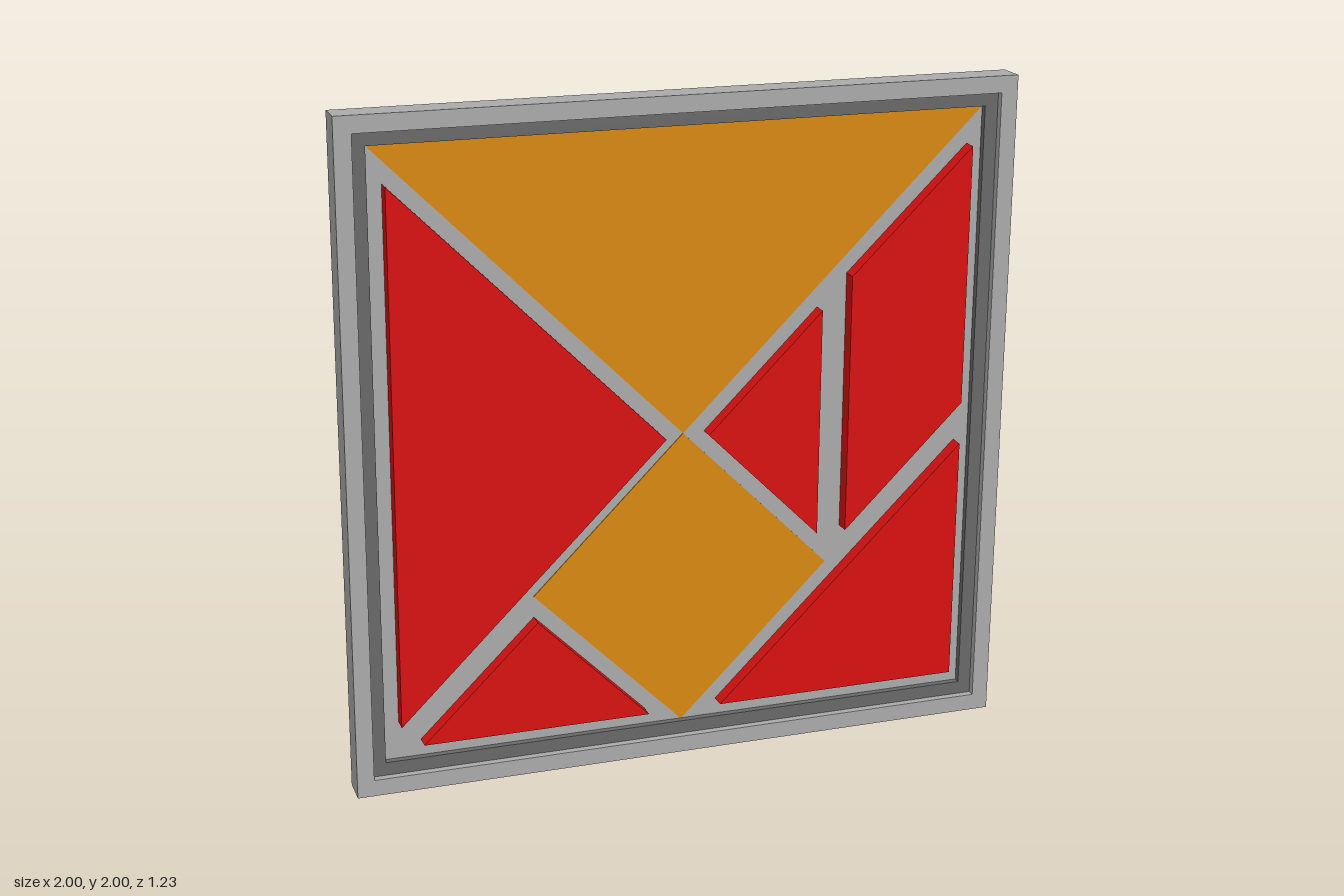
import * as THREE from 'three';

const mat = (name, color) => {
  const m = new THREE.MeshStandardMaterial({ color });
  m.name = name;
  return m;
};

const square = (h) => [[-h, 1 - h], [h, 1 - h], [h, 1 + h], [-h, 1 + h]];

export function createModel() {
  const group = new THREE.Group();
  const grey = mat('grey', 0xaaaaaa);
  const darkGrey = mat('darkGrey', 0x686868);
  const orange = mat('orange', 0xd88810);
  const red = mat('red', 0xd81010);

  // Flat outline in x and y, extruded from z0 to z1, with an optional hole
  const slab = (name, material, outline, z0, z1, hole) => {
    const toPoints = (list) => list.map(([x, y]) => new THREE.Vector2(x, y));
    const shape = new THREE.Shape(toPoints(outline));
    if (hole) shape.holes.push(new THREE.Path(toPoints(hole)));
    const geometry = new THREE.ExtrudeGeometry(shape, { depth: z1 - z0, bevelEnabled: false });
    geometry.translate(0, 0, z0);
    const mesh = new THREE.Mesh(geometry, material);
    mesh.name = name;
    group.add(mesh);
  };

  // Square panel with a stepped border
  const back = 0.522, floor = 0.57, step = 0.59, front = 0.612;
  slab('backPanel', grey, square(1), back, floor);
  slab('outerRim', grey, square(1), floor, front, square(0.95));
  slab('innerStep', darkGrey, square(0.95), floor, step, square(0.91));

  // Orange inlays lying in the panel
  const diamond = [[0, 0.09], [0.455, 0.545], [0, 1], [-0.455, 0.545]];
  slab('triangleInlay', orange, [[-0.91, 1.91], [0, 1], [0.91, 1.91]], floor, floor + 0.003);
  slab('squareInlay', orange, diamond, floor, floor + 0.003);

  // Raised red tiles
  const tiles = {
    largeLeftTile: [[-0.865, 1.8], [-0.865, 0.205], [-0.065, 1]],
    smallRightTile: [[0.065, 1], [0.41, 0.655], [0.41, 1.345]],
    parallelogramTile: [[0.5, 0.655], [0.865, 1.02], [0.865, 1.8], [0.5, 1.44]],
    cornerTile: [[0.11, 0.14], [0.865, 0.14], [0.865, 0.89]],
    smallBottomTile: [[-0.8, 0.14], [-0.115, 0.14], [-0.455, 0.48]],
  };
  for (const [name, outline] of Object.entries(tiles)) slab(name, red, outline, floor, 0.615);

  // Rear box with a shallow tray cut into its upper left-hand face
  const traySection = [
    [0, 0.09], [0.455, 0.545], [0.425, 0.575], [0.328, 0.478],
    [-0.067, 0.873], [0.03, 0.97], [0, 1], [-0.455, 0.545],
  ];
  slab('rearBox', orange, traySection, -0.572, back);
  slab('rearBoxEnd', orange, diamond, -0.615, -0.572);

  return group;
}
